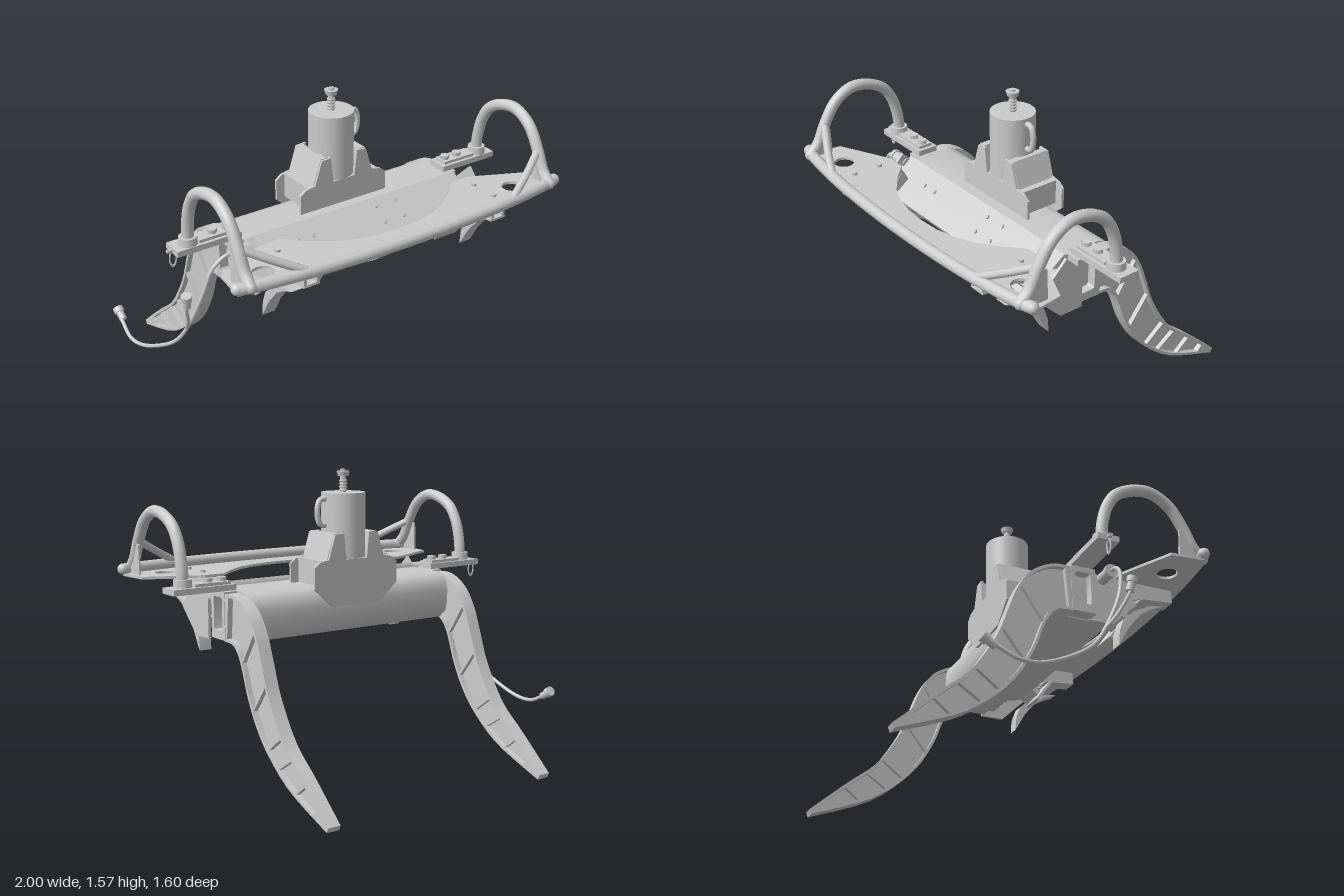
import * as THREE from 'three';
import { toCreasedNormals } from 'three/addons/utils/BufferGeometryUtils.js';

const CX = 0.02; // symmetry plane of the frame
const mat = new THREE.MeshStandardMaterial({ color: 0xcccccc, side: THREE.DoubleSide });
const v2 = (p) => new THREE.Vector2(p[0], p[1]);
const v3 = (p) => new THREE.Vector3(...p);

export function createModel() {
  const root = new THREE.Group();
  const add = (name, geo, pos = [0, 0, 0], rot = [0, 0, 0]) => {
    const m = new THREE.Mesh(geo, mat);
    m.name = name;
    m.position.set(...pos);
    m.rotation.set(...rot);
    root.add(m);
    return m;
  };
  const box = (name, w, h, d, pos, rot) => add(name, new THREE.BoxGeometry(w, h, d), pos, rot);
  const cyl = (name, r1, r2, h, pos, rot, seg = 24) =>
    add(name, new THREE.CylinderGeometry(r1, r2, h, seg), pos, rot);
  const tube = (name, pts, r, seg = 40, caps = true) => {
    const path = new THREE.CatmullRomCurve3(pts.map(v3));
    add(name, new THREE.TubeGeometry(path, seg, r, 12));
    if (caps) for (const p of [pts[0], pts[pts.length - 1]]) add(name + 'End', new THREE.SphereGeometry(r, 12, 8), p);
  };
  const makeShape = (pts, holes = []) => {
    const s = new THREE.Shape(pts.map(v2));
    for (const h of holes) s.holes.push(new THREE.Path(h.map(v2)));
    return s;
  };
  const extrude = (shape, depth) =>
    new THREE.ExtrudeGeometry(shape, { depth, bevelEnabled: false, curveSegments: 20 });
  // profile in (z, y), given thickness w centred on x
  const side = (name, pts, x, w, holes) => {
    const g = extrude(makeShape(pts, holes), w);
    g.rotateY(-Math.PI / 2).translate(x + w / 2, 0, 0);
    return add(name, toCreasedNormals(g, 0.6));
  };
  // profile in (x, y), given thickness centred on z
  const front = (name, pts, z, w) => add(name, extrude(makeShape(pts), w), [0, 0, z - w / 2]);

  // Main beam with a rounded back, and sloped front box
  side('beam', [[0.24, 0.74], [0, 0.74], [-0.045, 0.78], [-0.06, 0.84], [-0.06, 0.9], [-0.05, 0.945],
    [-0.025, 0.975], [0.02, 0.99], [0.24, 0.99]], CX, 1.255);
  side('slopedBox', [[0.25, 1.015], [0.44, 0.88], [0.43, 0.86], [0.38, 0.84], [0.24, 0.82], [0.24, 1.0]], CX + 0.01, 1.28);
  const diamond = [[0.3, 1.045], [0.47, 0.875], [0.33, 0.74], [0.2, 0.74], [0.2, 0.945]];
  for (const x of [-0.615, 0.738]) side('endPlate', diamond, x, 0.015);
  cyl('endStub', 0.06, 0.06, 0.1, [0.69, 0.9, 0.32], [0, 0, Math.PI / 2]);
  const boltRot = [0.95, 0, 0];
  for (const [x, y] of [[-0.37, 0.96], [-0.28, 0.96], [0.13, 0.985], [0.25, 0.985], [0.13, 0.93], [0.25, 0.93]])
    cyl('boxBolt', 0.011, 0.011, 0.02, [x, y, 0.25 + (1.015 - y) * 1.4], boltRot, 8);

  // Curved legs: rim, thin web and cross ribs
  const outer = new THREE.SplineCurve([[0.09, 0.98], [0, 0.98], [-0.08, 0.95], [-0.15, 0.895], [-0.21, 0.8],
    [-0.26, 0.67], [-0.32, 0.52], [-0.445, 0.33], [-0.6, 0.2], [-0.8, 0.025]].map(v2));
  const inner = new THREE.SplineCurve([[0.09, 0.74], [0.04, 0.74], [0, 0.73], [-0.04, 0.69], [-0.075, 0.62],
    [-0.12, 0.5], [-0.2, 0.36], [-0.31, 0.24], [-0.49, 0.115], [-0.79, 0]].map(v2));
  const ring = (t0, t1, inset) => {
    const a = [], b = [];
    for (let k = 0; k <= 32; k++) {
      const t = t0 + (t1 - t0) * k / 32;
      const o = outer.getPoint(t), i = inner.getPoint(t);
      const d = i.clone().sub(o).normalize().multiplyScalar(inset);
      a.push(o.add(d).toArray());
      b.unshift(i.sub(d).toArray());
    }
    return a.concat(b);
  };
  for (const s of [-1, 1]) {
    const x = CX + s * 0.664;
    side('legRim', ring(0, 1, 0), x, 0.07, [ring(0.06, 0.95, 0.016)]);
    side('legWeb', ring(0.03, 0.98, 0.005), x, 0.014);
    for (const idx of [3.6, 5.5, 6.8, 7.4, 8.1]) {
      const o = outer.getPoint(idx / 9), i = inner.getPoint(idx / 9);
      const d = i.clone().sub(o), c = o.clone().add(i).multiplyScalar(0.5);
      box('legRib', 0.06, 0.013, d.length() - 0.012, [x, c.y, c.x], [-Math.atan2(d.y, d.x), 0, 0]);
    }
    // Hollow socket joining leg and beam
    side('legSocket', [[0.08, 0.745], [0.21, 0.745], [0.21, 0.99], [0.08, 0.99]], x, 0.075,
      [[[0.11, 0.79], [0.18, 0.79], [0.185, 0.8], [0.185, 0.95], [0.18, 0.96], [0.11, 0.96], [0.1, 0.95], [0.1, 0.8]]]);
    box('socketBack', 0.02, 0.22, 0.12, [x - s * 0.02, 0.865, 0.145]);

    // Mounting bar under each hoop
    box('mountBar', 0.35, 0.03, 0.115, [CX + s * 0.803, 1.01, 0.14]);
    box('mountPad', 0.2, 0.02, 0.08, [CX + s * 0.75, 1.03, 0.14]);
    for (const bx of [0.68, 0.76]) cyl('mountBolt', 0.025, 0.025, 0.03, [CX + s * bx, 1.045, 0.14], undefined, 6);
    cyl('hoopFoot', 0.045, 0.048, 0.05, [CX + s * 0.895, 1.04, 0.148]);

    // Hoop, brace and gusset
    const hx = CX + s * 0.895;
    tube('hoop', [[0.148, 1.02], [0.15, 1.1], [0.167, 1.19], [0.19, 1.25], [0.235, 1.315], [0.33, 1.365],
      [0.435, 1.375], [0.535, 1.32], [0.61, 1.21], [0.66, 1.11], [0.71, 1.06]].map(([z, y]) => [hx, y, z]), 0.03);
    tube('brace', [[hx, 1.21, 0.61], [CX + s * 0.76, 1.14, 0.68], [CX + s * 0.62, 1.07, 0.74]], 0.02, 8);
    side('gusset', [[0.7, 1.03], [0.57, 1.03], [0.575, 1.19], [0.61, 1.21]], hx + s * 0.015, 0.01);

    // Ribs under the front plate
    for (const rx of [0.53, 0.6])
      side('plateRib', [[0.7, 1.02], [0.7, 0.955], [0.52, 0.94], [0.41, 0.89], [0.34, 0.95], [0.38, 1.02]], CX + s * rx, 0.014);
    box('ribFlange', 0.09, 0.012, 0.18, [CX + s * 0.565, 0.948, 0.61], [-0.08, 0, 0]);
    box('ribBracket', 0.1, 0.12, 0.012, [CX + s * 0.57, 0.95, 0.42], [-0.75, 0, 0]);
    for (const z of [0.47, 0.62]) cyl('plateBolt', 0.014, 0.014, 0.02, [CX + s * 0.6, 1.04, z], undefined, 8);
  }

  // Curved claws and their slanted pads below the front plate
  const claw = [[0.63, 0.905], [0.56, 0.895], [0.46, 0.845], [0.4, 0.79], [0.375, 0.72], [0.37, 0.645],
    [0.385, 0.67], [0.43, 0.75], [0.5, 0.835], [0.56, 0.875]];
  for (const x of [-0.575, 0.67]) side('claw', claw, x, 0.07);
  for (const [x, link] of [[-0.38, -0.48], [0.49, 0.57]]) {
    box('clawPad', 0.145, 0.015, 0.15, [x, 0.822, 0.455], [-0.95, 0, 0]);
    box('clawLink', 0.16, 0.04, 0.03, [link, 0.84, 0.44], [-0.8, 0, 0]);
  }

  // Front bumper rail
  tube('frontRail', [[-0.95, 0.685], [-0.9, 0.7], [-0.6, 0.742], [-0.3, 0.762], [0, 0.768], [0.3, 0.762], [0.6, 0.742],
    [0.9, 0.7], [0.95, 0.685]].map(([x, z]) => [CX + x, 1.058, z]), 0.03, 60);

  // Front plate with a scooped back edge and two round holes
  const half = [[0.33, 0.54], [0.44, 0.46], [0.53, 0.375], [0.64, 0.375], [0.93, 0.51], [0.95, 0.69], [0.6, 0.745], [0.3, 0.765]];
  const scoop = [[0.24, 0.58], [0.12, 0.608], [0, 0.615]].reverse();
  const right = [...scoop, ...half, [0, 0.77]];
  const left = right.slice(1, -1).reverse().map(([x, z]) => [-x, z]);
  const plateShape = makeShape([...right, ...left].map(([x, z]) => [x + CX, z]));
  for (const s of [-1, 1]) plateShape.holes.push(new THREE.Path().absellipse(CX + s * 0.755, 0.59, 0.055, 0.052, 0, Math.PI * 2, true));
  const plate = extrude(plateShape, 0.014);
  plate.rotateX(Math.PI / 2);
  add('frontPlate', plate, [0, 1.036, 0]);

  // Tower: cheek plates, flared sides, drum, handle and screw
  const mirrorX = (h) => [...h.map(([x, y]) => [CX + x, y]), ...h.slice().reverse().map(([x, y]) => [CX - x, y])];
  for (const z of [-0.066, 0.155])
    front('towerCheek', mirrorX([[0.15, z < 0 ? 0.88 : 0.98], [0.262, 0.98], [0.262, 1.09], [0.23, 1.115], [0.175, 1.125], [0.135, 1.25],
      [0.08, 1.255], [0.065, 1.12]]), z, 0.014);
  box('towerBase', 0.43, 0.13, 0.21, [CX, 1.055, 0.045]);
  for (const s of [-1, 1]) {
    const pts = [[0.08, 1.12], [0.18, 1.12], [0.135, 1.255], [0.1, 1.255]].map(([x, y]) => [CX + s * x, y]);
    front('towerSide', pts, 0.045, 0.21);
  }
  cyl('drum', 0.115, 0.115, 0.35, [CX, 1.28, 0.047], undefined, 40);
  tube('drumHandle', [[0.12, 1.29], [0.165, 1.295], [0.182, 1.34], [0.18, 1.39], [0.165, 1.42], [0.12, 1.425]]
    .map(([x, y]) => [x, y, 0.047]), 0.015, 24, false);
  cyl('screw', 0.016, 0.016, 0.1, [CX, 1.5, 0.047], undefined, 12);
  for (let k = 0; k < 4; k++)
    add('screwThread', new THREE.TorusGeometry(0.016, 0.006, 6, 16), [CX, 1.465 + k * 0.016, 0.047], [Math.PI / 2, 0, 0]);
  cyl('screwHead', 0.035, 0.028, 0.025, [CX, 1.55, 0.047]);
  cyl('screwNut', 0.016, 0.016, 0.012, [CX, 1.567, 0.047], undefined, 6);

  // Cable with a branch and two connectors
  cyl('cableGland', 0.03, 0.03, 0.12, [-0.66, 0.98, 0.28], [0, 0, Math.PI / 2], 16);
  cyl('cableGlandRing', 0.036, 0.036, 0.02, [-0.715, 0.98, 0.28], [0, 0, Math.PI / 2], 16);
  tube('cable', [[-0.7, 0.98, 0.28], [-0.76, 0.975, 0.28], [-0.82, 0.92, 0.27], [-0.86, 0.78, 0.24], [-0.89, 0.6, 0.16],
    [-0.92, 0.45, 0.06], [-0.95, 0.35, -0.08], [-0.98, 0.28, -0.24], [-0.99, 0.275, -0.34], [-0.98, 0.33, -0.46]], 0.01, 60);
  tube('cableBranch', [[-0.9, 0.55, 0.13], [-0.92, 0.63, 0.19], [-0.95, 0.72, 0.235], [-0.955, 0.76, 0.25]], 0.009, 16);
  const connector = (pos, rot) => {
    cyl('connectorBody', 0.02, 0.02, 0.07, pos, rot, 12);
    const off = new THREE.Vector3(0, 0.025, 0).applyEuler(new THREE.Euler(...rot)).add(v3(pos));
    cyl('connectorCollar', 0.027, 0.027, 0.03, off.toArray(), rot, 12);
  };
  connector([-0.955, 0.78, 0.25], [0.2, 0, 0.1]);
  connector([-0.973, 0.34, -0.475], [-1.0, 0, 0]);

  // Locking pin with its ring
  cyl('lockPin', 0.01, 0.01, 0.05, [-0.96, 1.01, 0.14], [0, 0, Math.PI / 2], 10);
  const pinRing = add('pinRing', new THREE.TorusGeometry(0.018, 0.004, 6, 20), [-0.955, 0.965, 0.14]);
  pinRing.scale.y = 2.2;
  return root;
}
